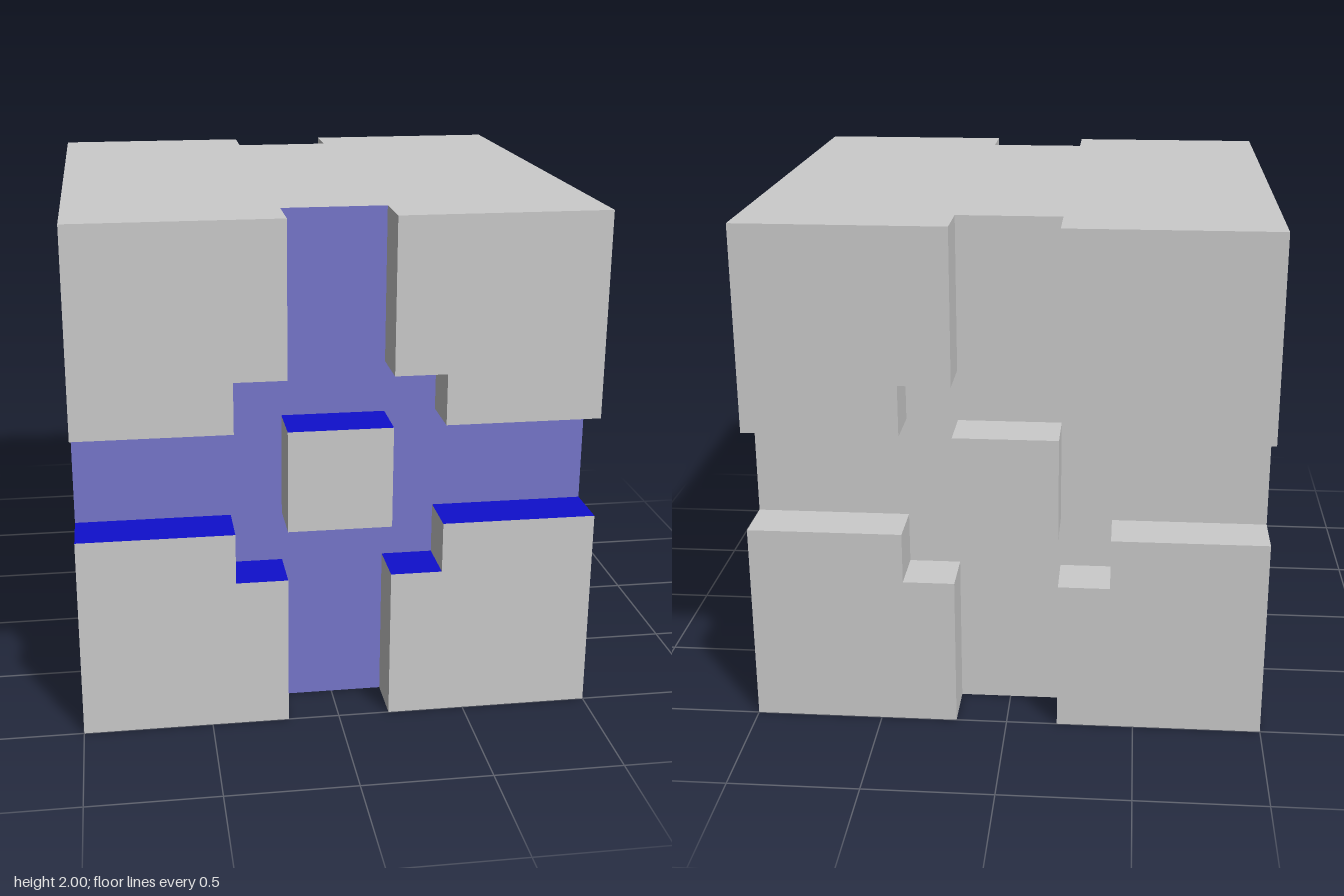
import * as THREE from 'three';

const grey = new THREE.MeshStandardMaterial({ color: 0xcccccc });
const blue = new THREE.MeshStandardMaterial({ color: 0x0f0fcc });
const paleBlue = new THREE.MeshStandardMaterial({ color: 0x7676cc });
const materials = [grey, blue, paleBlue];
const GREY = 0, BLUE = 1, PALE = 2;

const HALF = 1;      // half side of the cube
const GROOVE = 0.2;  // half width of the grooves, and their depth
const POCKET = 0.4;  // half side of the square pocket at the crossing
const FLOOR = HALF - GROOVE;

// Give each triangle a material, chosen from its normal and centre
function painted(name, source, pick) {
  const geometry = source.index ? source.toNonIndexed() : source;
  geometry.clearGroups();
  const p = geometry.attributes.position;
  const tri = new THREE.Triangle();
  const normal = new THREE.Vector3(), centre = new THREE.Vector3();
  for (let i = 0; i < p.count; i += 3) {
    tri.setFromAttributeAndIndices(p, i, i + 1, i + 2);
    tri.getNormal(normal);
    tri.getMidpoint(centre);
    geometry.addGroup(i, 3, pick(normal, centre));
  }
  const mesh = new THREE.Mesh(geometry, materials);
  mesh.name = name;
  return mesh;
}

// Front relief: walls turned right or up are blue; back relief: only the outer side
function reliefColour(isFront) {
  return (n, c) => {
    if (n.x > 0.5 && (isFront || c.x > 0.99)) return BLUE;
    if (n.y > 0.5 && isFront && c.y < 0.99) return BLUE;
    return GREY;
  };
}

// Corner block outline, with a notch towards the centre pocket
function cornerShape(sx, sy) {
  const outline = [
    [GROOVE, POCKET], [POCKET, POCKET], [POCKET, GROOVE],
    [HALF, GROOVE], [HALF, HALF], [GROOVE, HALF],
  ];
  return new THREE.Shape(outline.map(([x, y]) => new THREE.Vector2(x * sx, y * sy)));
}

export function createModel() {
  const model = new THREE.Group();
  model.name = 'groovedCube';
  const body = new THREE.Group();
  body.name = 'cubeBody';
  body.position.y = HALF;
  model.add(body);

  // Core between the groove floors
  body.add(painted('core', new THREE.BoxGeometry(2 * HALF, 2 * HALF, 2 * FLOOR),
    (n) => (n.x > 0.5 ? BLUE : n.z > 0.5 ? PALE : GREY)));

  for (const side of ['front', 'back']) {
    const isFront = side === 'front';
    const z0 = isFront ? FLOOR : -HALF;

    // Four notched corner blocks
    for (const sx of [-1, 1]) for (const sy of [-1, 1]) {
      const block = new THREE.ExtrudeGeometry(cornerShape(sx, sy),
        { depth: GROOVE, bevelEnabled: false }).translate(0, 0, z0);
      const name = `${side}${sy > 0 ? 'Upper' : 'Lower'}${sx > 0 ? 'Left' : 'Right'}Corner`;
      body.add(painted(name, block, reliefColour(isFront)));
    }

    // Raised block at the crossing of the grooves
    const centre = new THREE.BoxGeometry(2 * GROOVE, 2 * GROOVE, GROOVE)
      .translate(0, 0, z0 + GROOVE / 2);
    body.add(painted(`${side}CentreBlock`, centre, reliefColour(isFront)));
  }

  return model;
}
